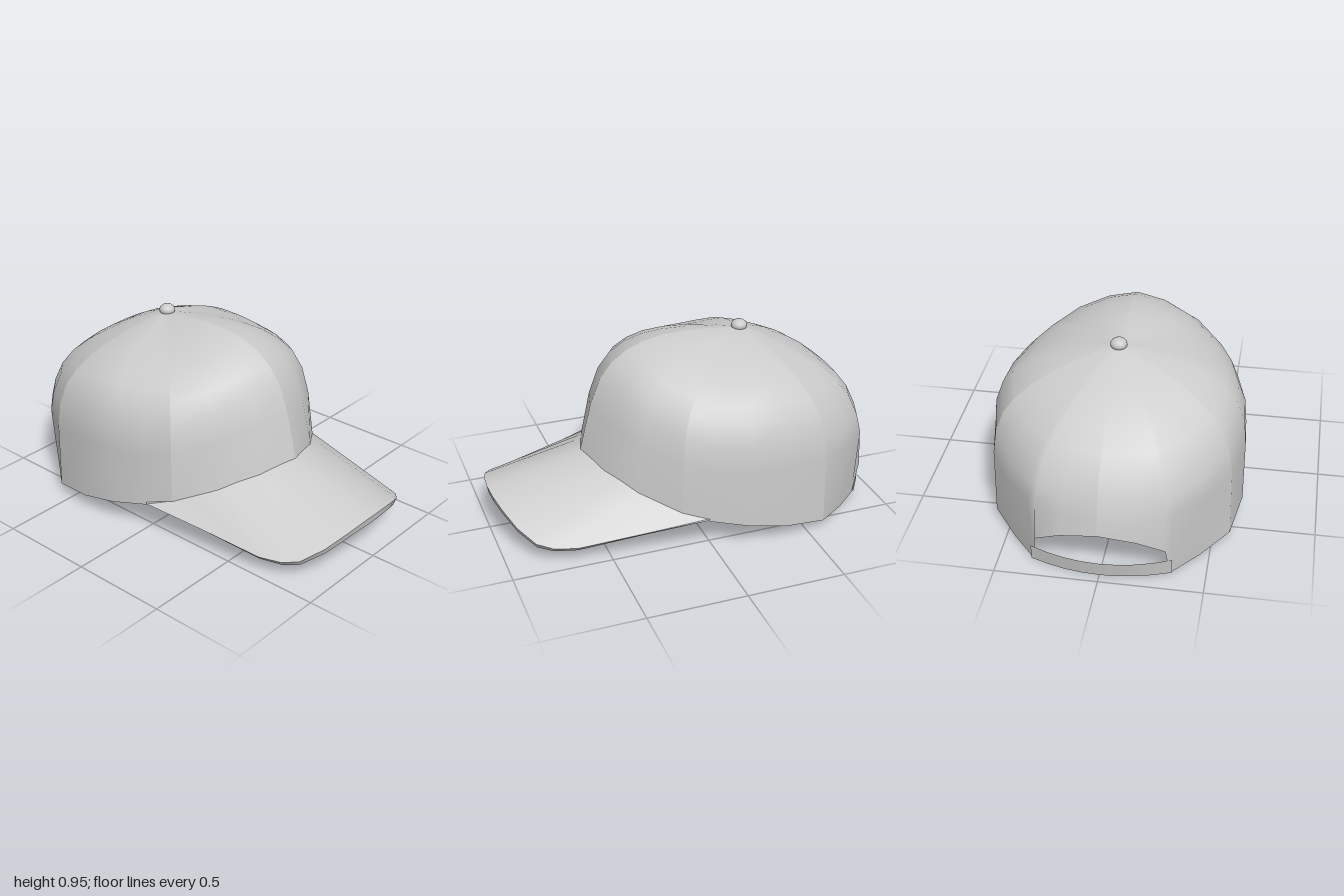
import * as THREE from 'three';
import { toCreasedNormals } from 'three/addons/utils/BufferGeometryUtils.js';

const material = new THREE.MeshStandardMaterial({ color: 0xcccccc, side: THREE.DoubleSide });
const POLE_Z = -0.35;

// Crown outline on the +x half, front to back: x, z and rim height
const OUTLINE = [
  [0, 0.51, 0.36], [0.2, 0.45, 0.333], [0.38, 0.33, 0.278], [0.512, 0.145, 0.2],
  [0.568, 0.02, 0.16], [0.615, -0.17, 0.12], [0.627, -0.36, 0.085], [0.585, -0.59, 0.045],
  [0.48, -0.77, 0.018], [0.345, -0.915, 0.005], [0.31, -0.93, 0.17], [0.18, -0.985, 0.25],
  [0, -1, 0.28],
];

// Profiles from crown top to rim: share of the outline radius, height
const FRONT = [[0.03, 0.914], [0.18, 0.927], [0.33, 0.935], [0.48, 0.929], [0.6, 0.91],
  [0.7, 0.876], [0.79, 0.822], [0.865, 0.74], [0.93, 0.6], [1, 0.365]];
const SIDE = [[0.03, 0.914], [0.2, 0.897], [0.38, 0.868], [0.55, 0.83], [0.7, 0.785],
  [0.83, 0.725], [0.92, 0.66], [0.982, 0.55], [1, 0.42], [1, 0.1]];
const BACK = [[0.03, 0.914], [0.15, 0.885], [0.34, 0.828], [0.5, 0.772], [0.63, 0.715],
  [0.77, 0.64], [0.87, 0.555], [0.94, 0.458], [0.98, 0.36], [1, 0.28]];

// Surface through columns of points; columns run towards +x, rows run downwards
function gridGeometry(columns) {
  const rows = columns[0].length;
  const index = [];
  for (let i = 0; i < columns.length - 1; i++) {
    for (let j = 0; j < rows - 1; j++) {
      const a = i * rows + j, b = a + rows;
      index.push(a, a + 1, b, b, a + 1, b + 1);
    }
  }
  const geometry = new THREE.BufferGeometry();
  geometry.setAttribute('position', new THREE.Float32BufferAttribute(columns.flat(2), 3));
  geometry.setIndex(index);
  geometry.computeVertexNormals();
  return geometry;
}

const mirrorColumns = (columns) =>
  columns.map((col) => col.map(([x, y, z]) => [-x, y, z])).reverse();

function addMesh(group, name, geometry) {
  const mesh = new THREE.Mesh(geometry, material);
  mesh.name = name;
  group.add(mesh);
  return mesh;
}

// One column of the crown, blending the side profile with the front or back one;
// the front corners stay upright like the sides, the back corners round off early
function crownColumn([x, z, rim]) {
  const dz = z - POLE_Z;
  const share = (dz * dz) / (x * x + dz * dz);
  const w = dz > 0 ? share ** 2 : share ** 0.5;
  const end = dz > 0 ? FRONT : BACK;
  return SIDE.map((side, j) => {
    let r = THREE.MathUtils.lerp(side[0], end[j][0], w);
    let y = THREE.MathUtils.lerp(side[1], end[j][1], w);
    if (j === SIDE.length - 1) {
      y = rim;
      if (rim < 0.02) r = 0.95; // lower back corners tuck in
    }
    return [x * r, y, POLE_Z + dz * r];
  });
}

// Six sewn panels, each smooth with a crease at the seams
function buildCrown() {
  const crown = new THREE.Group();
  crown.name = 'crown';
  const columns = OUTLINE.map(crownColumn);
  const panels = [['front', 0, 3], ['side', 3, 7], ['back', 7, 12]];
  for (const [name, from, to] of panels) {
    const half = columns.slice(from, to + 1);
    addMesh(crown, `${name}PanelLeft`, gridGeometry(half));
    addMesh(crown, `${name}PanelRight`, gridGeometry(mirrorColumns(half)));
  }
  return crown;
}

// Curved visor: ruled top and underside between the crown seam and the outer edge
function visorGeometry() {
  const inner = [[0, 0.365, 0.505], [0.07, 0.358, 0.486], [0.14, 0.348, 0.466],
    [0.2, 0.338, 0.448], [0.29, 0.314, 0.388], [0.38, 0.283, 0.328], [0.45, 0.24, 0.23],
    [0.512, 0.203, 0.14], [0.565, 0.175, 0.02]];
  const outer = [[0, 0.247, 1], [0.1, 0.24, 0.993], [0.19, 0.212, 0.97], [0.3, 0.162, 0.925],
    [0.4, 0.113, 0.855], [0.44, 0.094, 0.78], [0.475, 0.093, 0.67], [0.525, 0.135, 0.35],
    [0.58, 0.175, 0.035]];
  const half = inner.map((a, i) => {
    const b = outer[i];
    const t = 0.042 - 0.003 * i; // thinner towards the ends
    const under = ([x, y, z]) => [x * 0.955, y - t, z - 0.008]; // edge slopes inwards
    return [a, b, under(b), under(a)];
  });
  const columns = [...mirrorColumns(half.slice(1)), ...half];
  return toCreasedNormals(gridGeometry(columns), 0.6);
}

// Strap closing the back opening
function strapGeometry() {
  const columns = [];
  for (let i = 0; i <= 8; i++) {
    const s = 1 - i / 4;
    const bow = 1 - s * s;
    const x = 0.34 * s;
    columns.push([
      [x, 0.1 - 0.01 * bow, -0.902 - 0.068 * bow],
      [x, 0.012 - 0.006 * bow, -0.89 - 0.063 * bow],
    ]);
  }
  return gridGeometry(columns);
}

export function createModel() {
  const cap = new THREE.Group();
  cap.name = 'cap';
  cap.add(buildCrown());
  addMesh(cap, 'visor', visorGeometry());
  addMesh(cap, 'backStrap', strapGeometry());

  // Button on top
  const button = addMesh(cap, 'topButton', new THREE.SphereGeometry(0.041, 16, 10));
  button.scale.y = 0.75;
  button.position.set(0, 0.923, POLE_Z);
  return cap;
}
